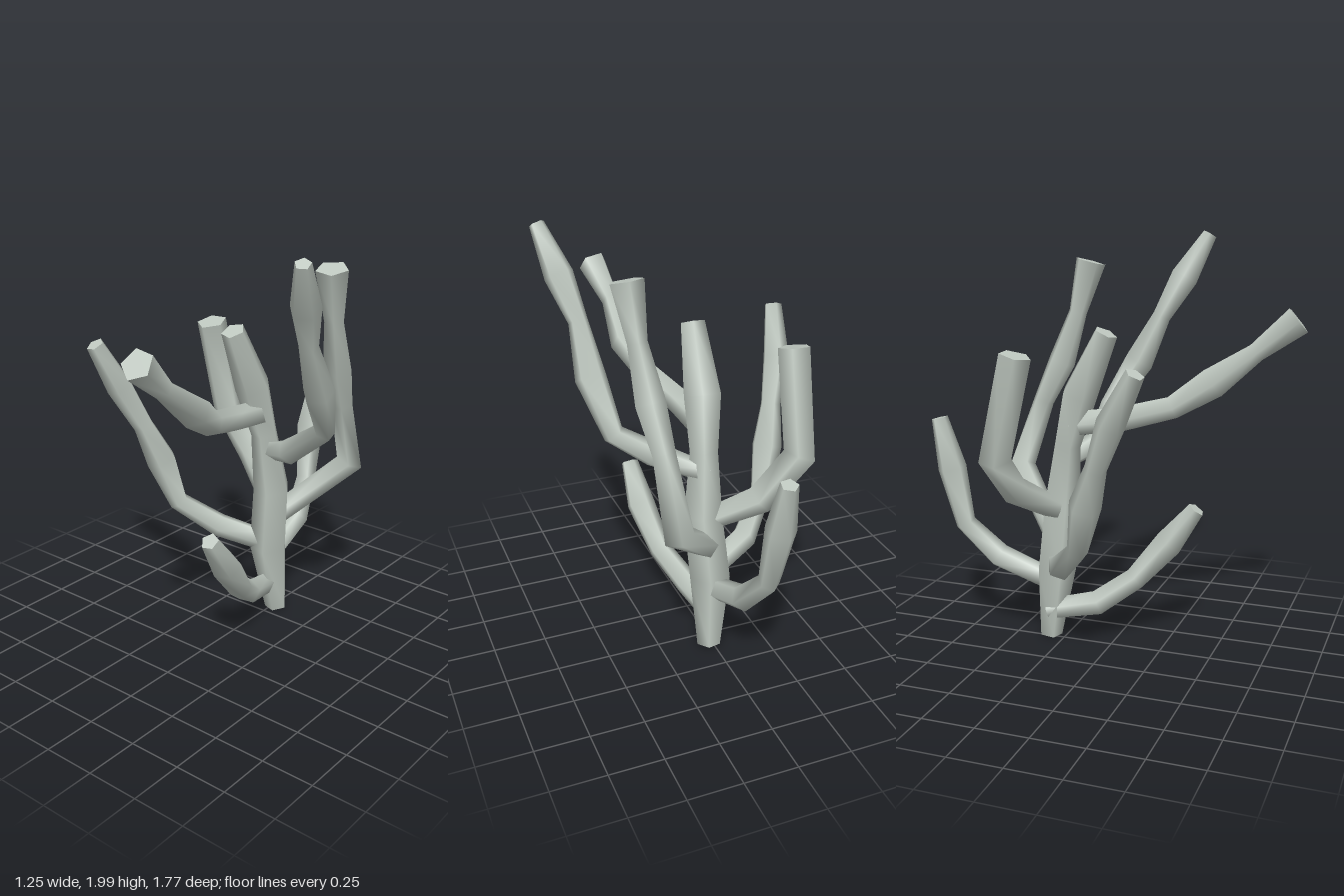
import * as THREE from 'three';

const SIDES = 5;

// Each limb: a list of [x, y, z, radius] from its root to its tip
const limbs = {
  trunk: [[0.02, 0.01, -0.33, 0.055], [0, 0.37, -0.29, 0.095], [0.03, 0.7, -0.27, 0.09],
    [0.01, 1.0, -0.23, 0.065], [-0.01, 1.25, -0.16, 0.085], [-0.02, 1.55, -0.02, 0.055]],
  lowFrontBranch: [[-0.01, 0.15, -0.33, 0.05], [0.03, 0.2, -0.08, 0.06], [0.11, 0.32, 0.09, 0.055],
    [0.155, 0.51, 0.25, 0.07], [0.165, 0.69, 0.38, 0.042]],
  highFrontBranch: [[0, 1.11, -0.2, 0.06], [0.02, 1.14, 0.03, 0.06], [0.09, 1.2, 0.27, 0.055],
    [0.145, 1.32, 0.45, 0.075], [0.15, 1.47, 0.65, 0.045], [0.185, 1.62, 0.83, 0.07]],
  leftTallBranch: [[0, 0.9, -0.27, 0.045], [0.22, 0.98, -0.14, 0.06], [0.41, 1.12, -0.15, 0.05],
    [0.465, 1.35, -0.01, 0.072], [0.48, 1.58, 0.1, 0.045], [0.53, 1.77, 0.2, 0.068], [0.59, 1.98, 0.31, 0.035]],
  leftBackBranch: [[0.02, 0.54, -0.31, 0.055], [0.275, 0.81, -0.59, 0.068], [0.295, 1.15, -0.47, 0.052],
    [0.32, 1.35, -0.38, 0.068], [0.345, 1.6, -0.3, 0.045], [0.365, 1.85, -0.24, 0.075]],
  backBranch: [[-0.02, 0.32, -0.35, 0.055], [-0.04, 0.41, -0.58, 0.06], [-0.09, 0.58, -0.735, 0.05],
    [-0.11, 0.86, -0.79, 0.07], [-0.11, 1.11, -0.85, 0.04]],
  rightBackBranch: [[-0.02, 0.68, -0.28, 0.055], [-0.2, 0.8, -0.4, 0.07], [-0.38, 1.0, -0.425, 0.075],
    [-0.39, 1.48, -0.31, 0.073]],
  rightFrontBranch: [[-0.02, 0.4, -0.27, 0.055], [-0.23, 0.46, -0.17, 0.06], [-0.38, 0.6, -0.03, 0.05],
    [-0.435, 0.83, 0.03, 0.075], [-0.485, 1.02, 0.1, 0.05], [-0.55, 1.23, 0.19, 0.065], [-0.585, 1.46, 0.31, 0.042]],
};

// Smooth tapering tube with one ring per point and flat, sharp-edged ends
function limbGeometry(points) {
  const centres = points.map(([x, y, z]) => new THREE.Vector3(x, y, z));
  const last = centres.length - 1;
  const direction = (i) => centres[i + 1].clone().sub(centres[i]).normalize();
  const u = new THREE.Vector3(0.3, 0, 1);
  const rings = centres.map((centre, i) => {
    const t = new THREE.Vector3();
    if (i > 0) t.add(direction(i - 1));
    if (i < last) t.add(direction(i));
    t.normalize();
    // Carry the side axis along so that the tube does not twist
    u.addScaledVector(t, -u.dot(t)).normalize();
    const v = t.clone().cross(u);
    return Array.from({ length: SIDES }, (_, j) => {
      const a = (j / SIDES) * Math.PI * 2;
      const r = points[i][3] * 1.04;
      return centre.clone().addScaledVector(u, r * Math.cos(a)).addScaledVector(v, r * Math.sin(a));
    });
  });

  const vertices = rings.flat();
  const index = [];
  for (let i = 0; i < last; i++) {
    for (let j = 0; j < SIDES; j++) {
      const k = (j + 1) % SIDES;
      const a = i * SIDES + j, b = i * SIDES + k;
      index.push(a, b, a + SIDES, b, b + SIDES, a + SIDES);
    }
  }
  // End caps have their own corners
  const root = vertices.length, tip = root + SIDES;
  vertices.push(...rings[0], ...rings[last]);
  for (let j = 1; j < SIDES - 1; j++) {
    index.push(root, root + j + 1, root + j, tip, tip + j, tip + j + 1);
  }
  const geometry = new THREE.BufferGeometry().setFromPoints(vertices);
  geometry.setIndex(index);
  geometry.computeVertexNormals();
  return geometry;
}

export function createModel() {
  const group = new THREE.Group();
  group.name = 'branchingCoral';
  const material = new THREE.MeshStandardMaterial({ color: 0xc0c9c1 });
  material.name = 'pale grey green';
  for (const [name, points] of Object.entries(limbs)) {
    const mesh = new THREE.Mesh(limbGeometry(points), material);
    mesh.name = name;
    group.add(mesh);
  }
  return group;
}
